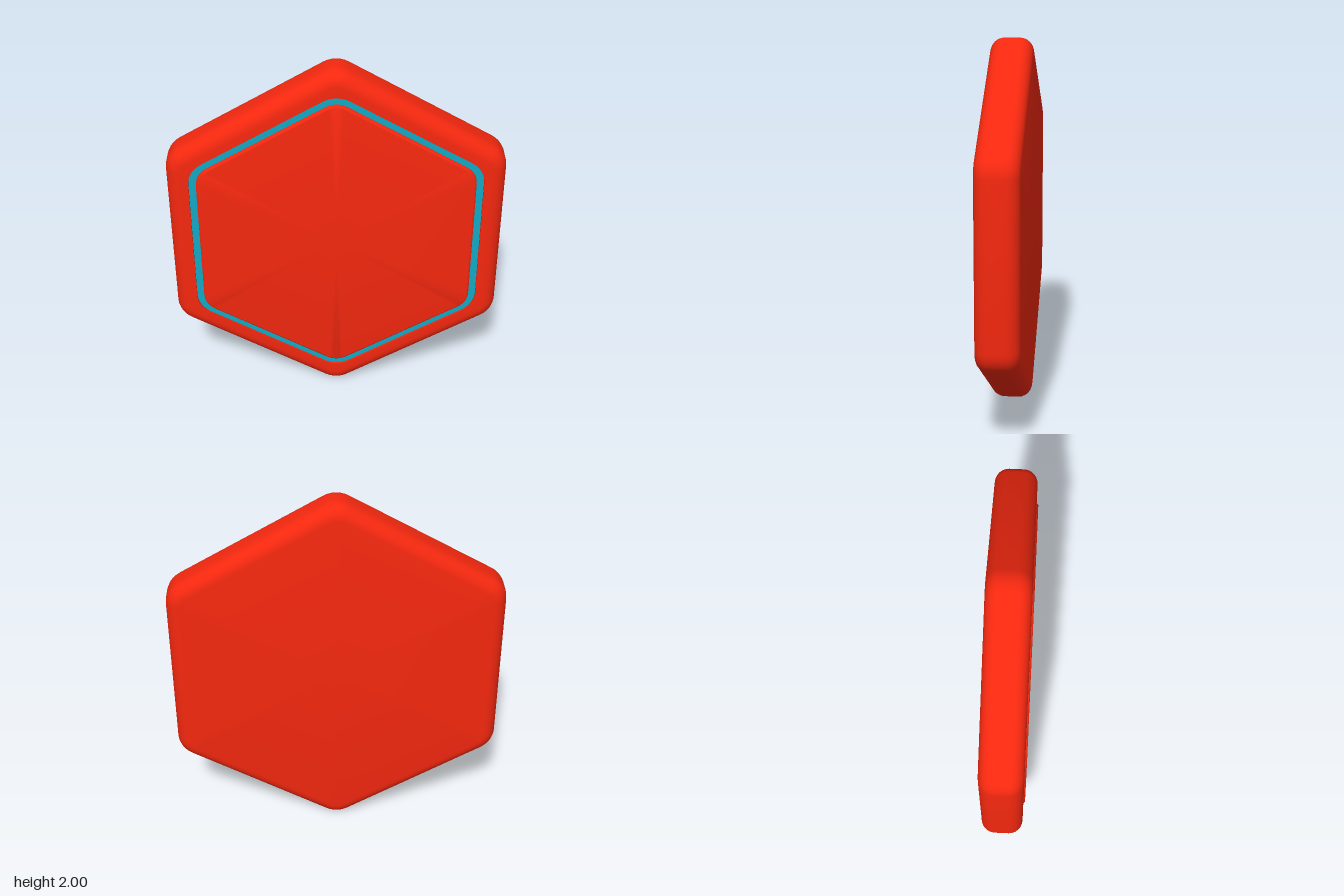
import * as THREE from 'three';
import { toCreasedNormals } from 'three/addons/utils/BufferGeometryUtils.js';

const ARC = 6; // segments per rounded corner

// Rounded pointy-top hexagon, counter-clockwise seen from +z
function hexRing(apothem, radius, z) {
  const pts = [];
  const reach = (apothem - radius) / Math.cos(Math.PI / 6);
  for (let k = 0; k < 6; k++) {
    const corner = Math.PI / 6 + k * Math.PI / 3;
    for (let s = 0; s <= ARC; s++) {
      const t = corner + (s / ARC - 0.5) * Math.PI / 3;
      pts.push([
        reach * Math.cos(corner) + radius * Math.cos(t),
        reach * Math.sin(corner) + radius * Math.sin(t), z]);
    }
  }
  return pts;
}

// Skin a profile of [apothem, corner radius, z] rings, listed from back to front
function loft(profile) {
  const rings = profile.map(p => hexRing(...p));
  const n = rings[0].length;
  const pos = [];
  for (let i = 0; i < rings.length - 1; i++) {
    for (let j = 0; j < n; j++) {
      const k = (j + 1) % n;
      const a = rings[i][j], b = rings[i][k], c = rings[i + 1][k], d = rings[i + 1][j];
      if (profile[i][0] > 0) pos.push(...a, ...b, ...c);
      if (profile[i + 1][0] > 0) pos.push(...a, ...c, ...d);
    }
  }
  const g = new THREE.BufferGeometry();
  g.setAttribute('position', new THREE.Float32BufferAttribute(pos, 3));
  return toCreasedNormals(g, 0.6);
}

// Quarter-round edge between a flat face and the side wall
function fillet(apothem, radius, z, size, front) {
  const out = [];
  const steps = 6;
  for (let s = 0; s <= steps; s++) {
    const t = (front ? s : steps - s) / steps * Math.PI / 2;
    const inset = size * (1 - Math.cos(t));
    const lift = size * (1 - Math.sin(t));
    out.push([apothem - inset, radius - inset, front ? z - lift : z + lift]);
  }
  return out;
}

export function createModel() {
  const group = new THREE.Group();
  const red = new THREE.MeshStandardMaterial({ color: 0xf5280f });
  const cyan = new THREE.MeshStandardMaterial({ color: 0x12a8c4 });
  const add = (name, profile, material) => {
    const mesh = new THREE.Mesh(loft(profile), material);
    mesh.name = name;
    mesh.position.y = 1;
    group.add(mesh);
  };

  const floorZ = 0.097;

  // Tile body: flat back, rounded edges, front rim and groove wall
  add('body', [
    [0, 0, -0.118],
    ...fillet(0.886, 0.14, -0.118, 0.075, false),
    ...fillet(0.886, 0.14, 0.109, 0.075, true),
    [0.769, 0.14, 0.109],
    [0.769, 0.14, floorZ],
  ], red);

  // Coloured band on the groove floor
  add('grooveBand', [[0.769, 0.14, floorZ], [0.725, 0.11, floorZ]], cyan);

  // Raised front panel with a softened edge
  add('frontPanel', [
    [0.73, 0.11, floorZ - 0.01],
    ...fillet(0.73, 0.11, 0.118, 0.012, true),
    [0, 0, 0.118],
  ], red);

  return group;
}
